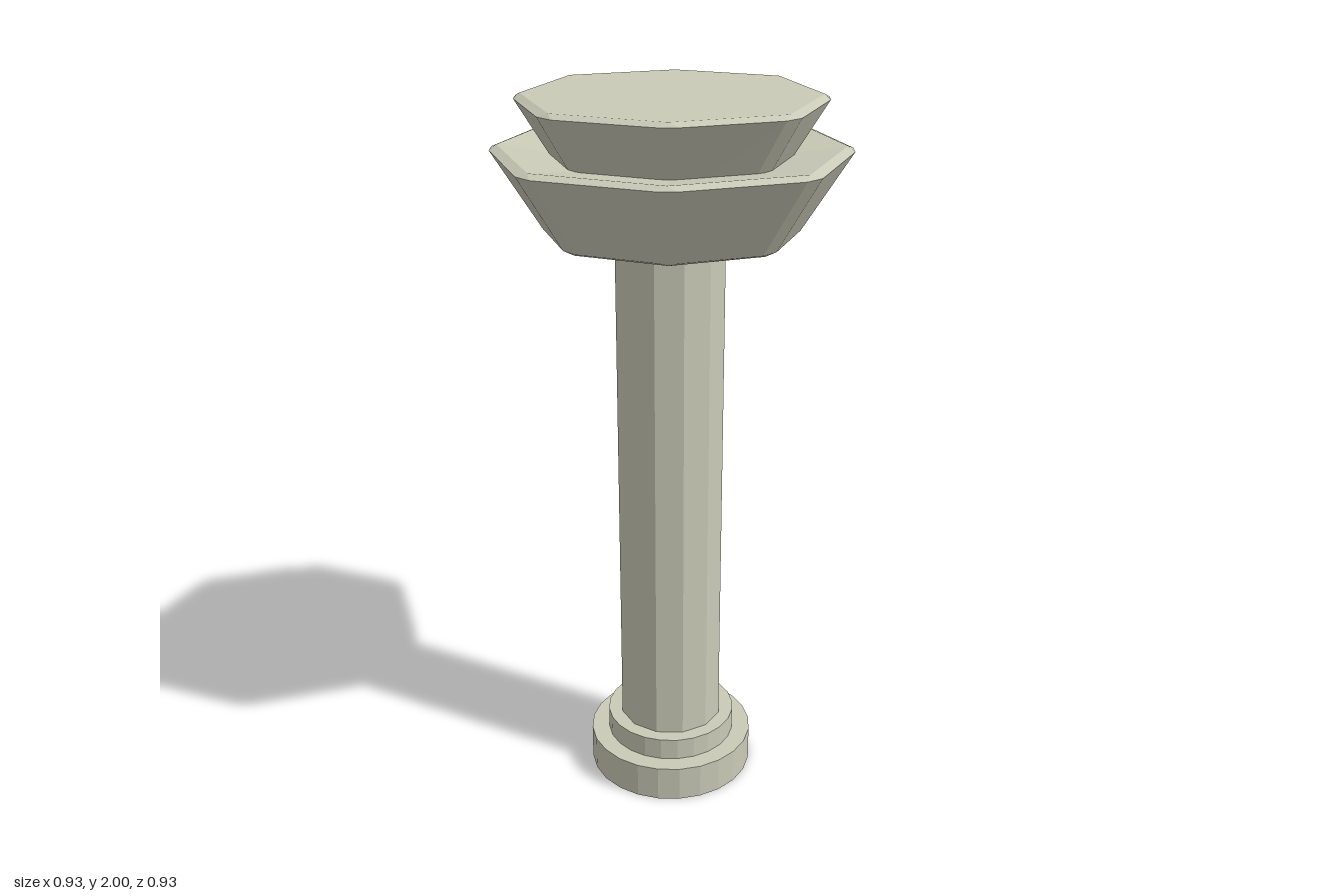
import * as THREE from 'three';

const material = new THREE.MeshStandardMaterial({ color: 0xcacab8, flatShading: true });

// One octagonal ring with clipped corners: 16 points, two per corner.
// r = corner distance, clip = half width of the clipped corner.
function octagonRing([r, y, clip]) {
  const points = [];
  for (let i = 0; i < 8; i++) {
    const a = (i * Math.PI) / 4;
    const reach = i % 2 ? r * 1.04 : r; // diagonal corners reach slightly further
    for (const t of [-clip, clip]) {
      points.push(new THREE.Vector3(
        reach * Math.sin(a) + t * Math.cos(a), y,
        reach * Math.cos(a) - t * Math.sin(a)));
    }
  }
  return points;
}

// Skin a stack of rings, ordered from the underside centre to the top centre.
function loft(profile) {
  const rings = profile.map(octagonRing);
  const positions = [];
  const addTriangle = (a, b, c) => {
    if (new THREE.Triangle(a, b, c).getArea() < 1e-8) return;
    for (const p of [a, b, c]) positions.push(p.x, p.y, p.z);
  };
  for (let j = 0; j < rings.length - 1; j++) {
    for (let i = 0; i < 16; i++) {
      const k = (i + 1) % 16;
      addTriangle(rings[j][i], rings[j][k], rings[j + 1][k]);
      addTriangle(rings[j][i], rings[j + 1][k], rings[j + 1][i]);
    }
  }
  const geometry = new THREE.BufferGeometry();
  geometry.setAttribute('position', new THREE.Float32BufferAttribute(positions, 3));
  geometry.computeVertexNormals();
  return geometry;
}

export function createModel() {
  const group = new THREE.Group();
  const add = (name, geometry) => {
    const mesh = new THREE.Mesh(geometry, material);
    mesh.name = name;
    group.add(mesh);
    return mesh;
  };

  // Round foot, collar and shaft: name, radius, bottom, top, sides
  const drums = [
    ['foot', 0.24, 0, 0.105, 24],
    ['collar', 0.188, 0.105, 0.17, 24],
    ['shaft', 0.15, 0.17, 1.65, 12],
  ];
  for (const [name, r, y0, y1, sides] of drums) {
    const mesh = add(name, new THREE.CylinderGeometry(r, r, y1 - y0, sides));
    mesh.position.set(-0.003, (y0 + y1) / 2, 0.003);
    mesh.rotation.y = Math.PI / sides;
  }

  // Wide flared tray with bevelled rim and a gently dished top
  add('lowerCapital', loft([
    [0, 1.645, 0], [0.32, 1.645, 0], [0.335, 1.655, 0.024],
    [0.466, 1.86, 0.027], [0.45, 1.87, 0], [0.3, 1.85, 0], [0, 1.85, 0],
  ]));

  // Smaller flared block on top
  add('upperCapital', loft([
    [0, 1.8, 0], [0.28, 1.8, 0.024],
    [0.398, 1.99, 0.027], [0.385, 2, 0], [0, 2, 0],
  ]));

  return group;
}
